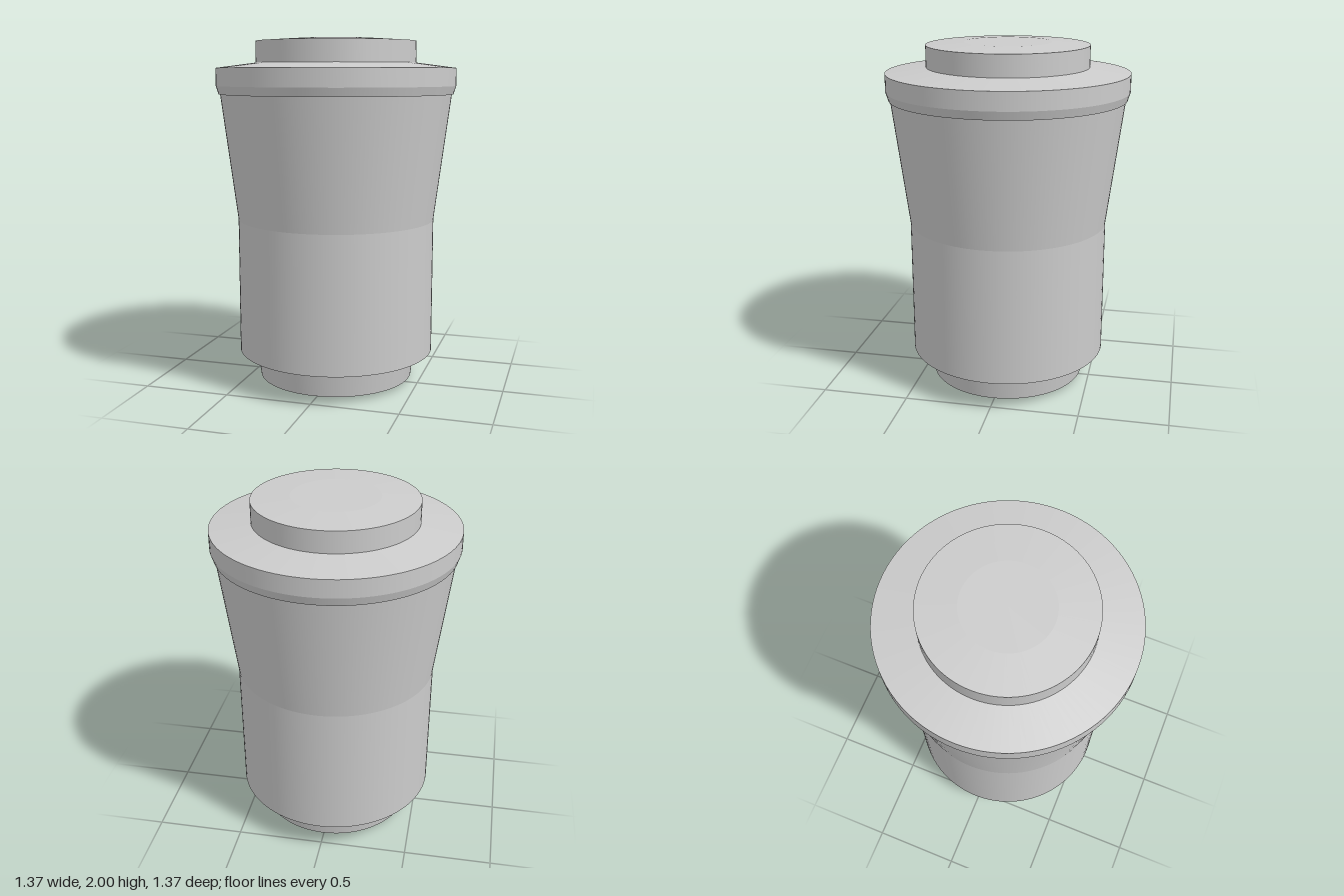
import * as THREE from 'three';
import { mergeGeometries } from 'three/addons/utils/BufferGeometryUtils.js';

const SEGMENTS = 96;

// Revolve a profile of [radius, height] points, keeping each corner crisp.
function turned(name, profile, material) {
  const bands = [];
  for (let i = 0; i < profile.length - 1; i++) {
    const ends = [profile[i], profile[i + 1]].map(([r, y]) => new THREE.Vector2(r, y));
    bands.push(new THREE.LatheGeometry(ends, SEGMENTS));
  }
  const mesh = new THREE.Mesh(mergeGeometries(bands), material);
  mesh.name = name;
  return mesh;
}

export function createModel() {
  const group = new THREE.Group();
  group.name = 'lidded cup';
  const grey = new THREE.MeshStandardMaterial({ color: 0xcccccc, side: THREE.DoubleSide });

  // Tapered cup with a shallow pointed base
  group.add(turned('cup', [[0, 0], [0.449, 0.03], [0.664, 1.7]], grey));

  // Straight sleeve, open below, meeting the cup at its upper edge
  group.add(turned('sleeve', [[0.57, 0.188], [0.57, 0.968]], grey));

  // Lid: chamfered skirt, sloping shoulder and raised cap
  group.add(turned('lid', [
    [0.662, 1.688], [0.671, 1.688], [0.686, 1.735], [0.686, 1.835],
    [0.458, 1.865], [0.458, 1.986], [0.245, 2], [0, 2],
  ], grey));

  return group;
}
